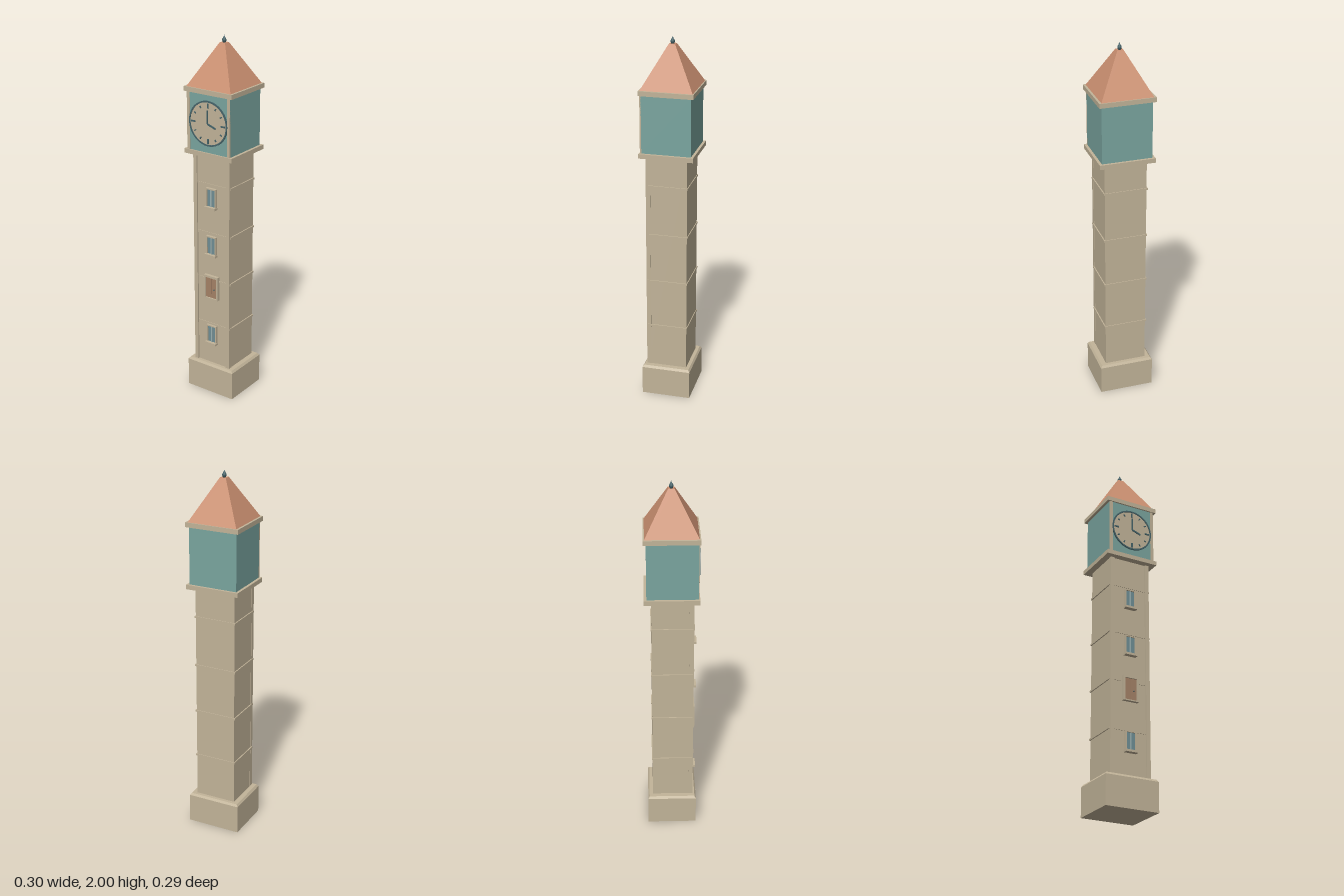
import * as THREE from 'three';

const mat = (name, color) => {
  const m = new THREE.MeshStandardMaterial({ color });
  m.name = name;
  return m;
};

export function createModel() {
  const stone = mat('stone', 0xc2b499);
  const teal = mat('teal cladding', 0x7aa59f);
  const terracotta = mat('terracotta', 0xcb9071);
  const wood = mat('wood', 0xa58267);
  const glass = mat('glass', 0x6f8f96);
  const lightGlass = mat('light mullion', 0x9db3b3);
  const dark = mat('dark metal', 0x46646a);

  const tower = new THREE.Group();
  tower.name = 'clockTower';

  const add = (name, geometry, material, parent = tower) => {
    const mesh = new THREE.Mesh(geometry, material);
    mesh.name = name;
    parent.add(mesh);
    return mesh;
  };
  // Box given by its limits on each axis
  const box = (name, material, [x0, x1], [y0, y1], [z0, z1], parent = tower) => {
    const mesh = add(name, new THREE.BoxGeometry(x1 - x0, y1 - y0, z1 - z0), material, parent);
    mesh.position.set((x0 + x1) / 2, (y0 + y1) / 2, (z0 + z1) / 2);
    return mesh;
  };
  const group = (name, x, y, z) => {
    const g = new THREE.Group();
    g.name = name;
    g.position.set(x, y, z);
    tower.add(g);
    return g;
  };
  // Four-sided frustum with its sides facing the axes
  const frustum = (name, material, top, bottom, y0, y1, z, depthRatio = 1) => {
    const g = new THREE.CylinderGeometry(top * Math.SQRT2, bottom * Math.SQRT2, y1 - y0, 4).toNonIndexed();
    g.rotateY(Math.PI / 4);
    g.scale(1, 1, depthRatio);
    g.computeVertexNormals();
    const mesh = add(name, g, material);
    mesh.position.set(0, (y0 + y1) / 2, z);
    return mesh;
  };

  // Plinth with a chamfered top
  box('plinth', stone, [-0.15, 0.15], [0, 0.16], [-0.135, 0.133]);
  frustum('plinthChamfer', stone, 0.141, 0.15, 0.16, 0.172, -0.001, 0.893);

  // Shaft with raised front corner strips and string courses
  box('shaft', stone, [-0.114, 0.114], [0.17, 1.39], [-0.108, 0.106]);
  for (const s of [-1, 1]) {
    const x = [s * 0.094, s * 0.116].sort((a, b) => a - b);
    box('cornerStrip', stone, x, [0.17, 1.39], [0.09, 0.114]);
  }
  for (const y of [0.413, 0.681, 0.951, 1.226]) {
    box('stringCourse', stone, [-0.12, 0.12], [y - 0.005, y + 0.005], [-0.112, 0.109]);
  }

  // Belfry between two cornices
  box('lowerCornice', stone, [-0.15, 0.15], [1.387, 1.411], [-0.146, 0.143]);
  box('belfry', teal, [-0.135, 0.135], [1.411, 1.719], [-0.132, 0.135]);
  box('upperCornice', stone, [-0.15, 0.15], [1.719, 1.744], [-0.146, 0.143]);
  for (const s of [-1, 1]) {
    const x = [s * 0.118, s * 0.135].sort((a, b) => a - b);
    box('belfryPost', stone, x, [1.411, 1.719], [0.13, 0.138]);
  }

  // Clock
  const clock = group('clock', 0, 1.568, 0.135);
  const disc = add('clockFace', new THREE.CylinderGeometry(0.115, 0.115, 0.006, 48), stone, clock);
  disc.rotation.x = Math.PI / 2;
  const ringShape = new THREE.Shape().absarc(0, 0, 0.12, 0, Math.PI * 2);
  ringShape.holes.push(new THREE.Path().absarc(0, 0, 0.112, 0, Math.PI * 2, true));
  add('clockRim', new THREE.ExtrudeGeometry(ringShape, { depth: 0.006, bevelEnabled: false, curveSegments: 32 }), dark, clock);
  for (let i = 0; i < 12; i++) {
    const a = (i * Math.PI) / 6;
    const main = i % 3 === 0;
    const tick = add('hourMark', new THREE.BoxGeometry(main ? 0.026 : 0.012, main ? 0.008 : 0.006, 0.004), dark, clock);
    tick.position.set(Math.cos(a) * 0.094, Math.sin(a) * 0.094, 0.005);
    tick.rotation.z = a;
  }
  const hand = (name, angle, length, width) => {
    const g = new THREE.BoxGeometry(length, width, 0.004);
    g.translate(length / 2, 0, 0);
    const mesh = add(name, g, dark, clock);
    mesh.position.z = 0.009;
    mesh.rotation.z = angle;
  };
  hand('minuteHand', Math.PI / 2, 0.072, 0.007);
  hand('hourHand', -0.33, 0.053, 0.009);

  // Windows with frame, two panes, mullion and sill
  for (const y of [0.298, 0.828, 1.1]) {
    const w = group('window', 0, y, 0.106);
    for (const s of [-1, 1]) {
      const jamb = [s * 0.025, s * 0.032].sort((a, b) => a - b);
      box('windowJamb', stone, jamb, [0.005, 0.11], [0, 0.015], w);
      const pane = [s * 0.004, s * 0.026].sort((a, b) => a - b);
      box('windowPane', glass, pane, [0.008, 0.105], [0, 0.008], w);
    }
    box('windowHead', stone, [-0.032, 0.032], [0.103, 0.11], [0, 0.015], w);
    box('windowMullion', lightGlass, [-0.004, 0.004], [0.008, 0.105], [0, 0.012], w);
    box('windowSill', stone, [-0.035, 0.035], [-0.004, 0.008], [0, 0.026], w);
  }

  // Shuttered hatch
  const hatch = group('hatch', 0, 0.57, 0.106);
  for (const s of [-1, 1]) {
    const jamb = [s * 0.035, s * 0.045].sort((a, b) => a - b);
    box('hatchJamb', stone, jamb, [0, 0.138], [0, 0.018], hatch);
    const leaf = [s * 0.001, s * 0.036].sort((a, b) => a - b);
    box('hatchLeaf', wood, leaf, [0.005, 0.128], [0, 0.011], hatch);
  }
  box('hatchHead', stone, [-0.045, 0.045], [0.126, 0.138], [0, 0.018], hatch);
  box('hatchSill', stone, [-0.045, 0.045], [0, 0.007], [0, 0.018], hatch);
  const knob = add('hatchKnob', new THREE.SphereGeometry(0.004, 10, 8), dark, hatch);
  knob.position.set(0.018, 0.058, 0.013);

  // Roof and finial
  frustum('roof', terracotta, 0.017, 0.138, 1.744, 1.962, -0.002);
  const profile = [[0, 1.96], [0.007, 1.96], [0.011, 1.972], [0.011, 1.978], [0.006, 1.986], [0, 2]];
  const finial = add('finial', new THREE.LatheGeometry(profile.map(([x, y]) => new THREE.Vector2(x, y)), 12), dark);
  finial.position.z = -0.002;

  return tower;
}
